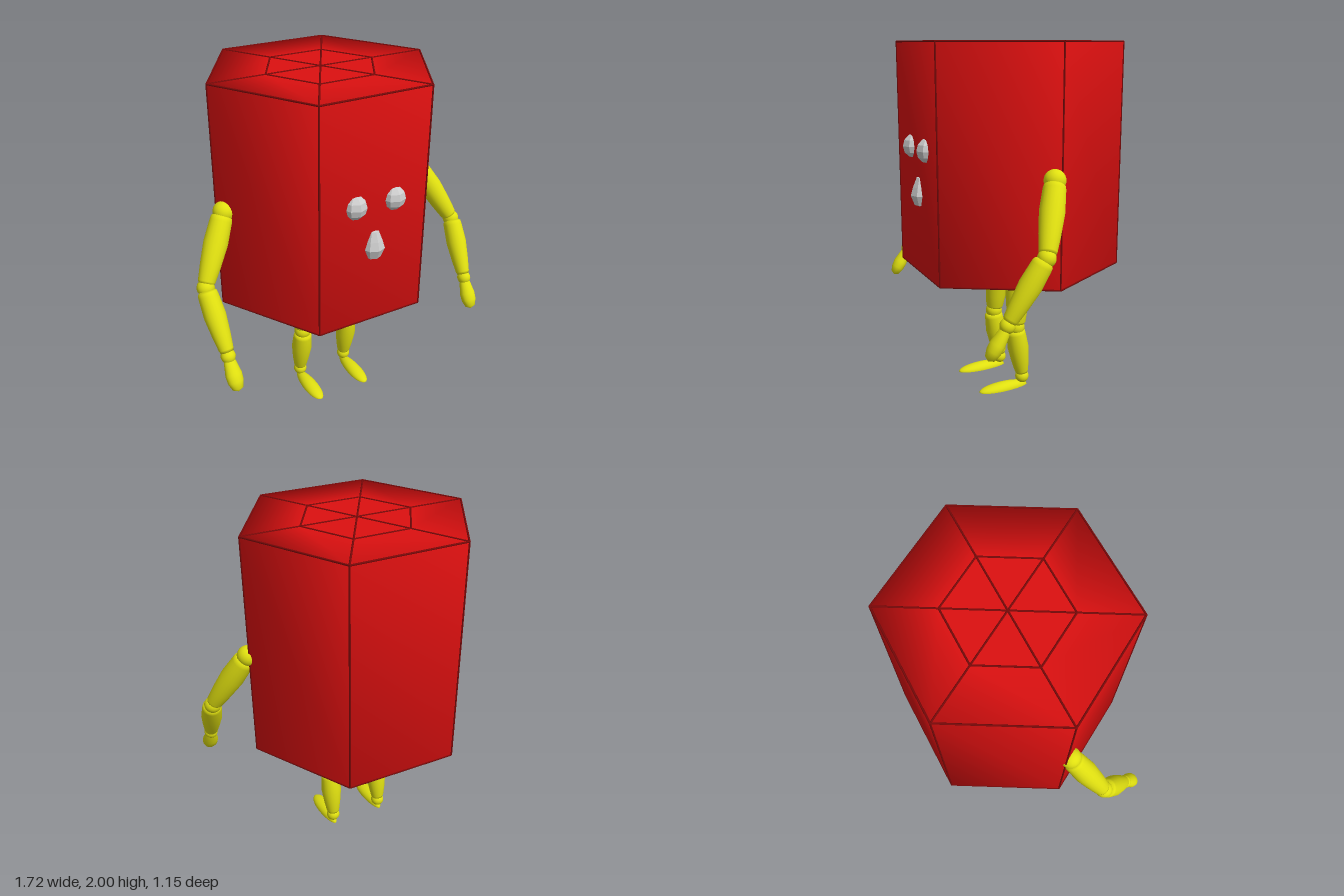
import * as THREE from 'three';

const red = new THREE.MeshStandardMaterial({ color: 0xdd1010 });
const seamRed = new THREE.MeshStandardMaterial({ color: 0x7a0808 });
const yellow = new THREE.MeshStandardMaterial({ color: 0xe0e010 });
const grey = new THREE.MeshStandardMaterial({ color: 0xcccccc, flatShading: true });

const V = (x, y, z) => new THREE.Vector3(x, y, z);
const UP = V(0, 1, 0);

function add(parent, name, geometry, material, position) {
  const mesh = new THREE.Mesh(geometry, material);
  mesh.name = name;
  if (position) mesh.position.copy(position);
  parent.add(mesh);
  return mesh;
}

const ball = (parent, name, p, r) =>
  add(parent, name, new THREE.SphereGeometry(r, 20, 14), yellow, p);

// Round body from a to b; profile is [radius, fraction along the axis]
function limb(parent, name, a, b, profile, material = yellow, sides = 20) {
  const axis = b.clone().sub(a);
  const length = axis.length();
  const points = profile.map(([r, t]) => new THREE.Vector2(r, t * length));
  const mesh = add(parent, name, new THREE.LatheGeometry(points, sides), material, a);
  mesh.quaternion.setFromUnitVectors(UP, axis.normalize());
  return mesh;
}

// Segment with softly rounded ends
const segment = (r0, rMid, r1) => [
  [0, 0], [r0 * 0.75, 0.005], [r0 * 0.95, 0.035], [r0, 0.09], [rMid, 0.4],
  [(rMid + r1) / 2, 0.72], [r1, 0.94], [r1 * 0.85, 0.985], [0, 1],
];

function buildBody() {
  const body = new THREE.Group();
  body.name = 'body';
  body.position.set(-0.01, 0, -0.022);
  const R = 0.636, bottom = 0.73, top = 1.996;

  // Hexagonal prism, softly shaded across its edges
  const profile = [[0, bottom], [R / 2, bottom], [R, bottom], [R, top], [R / 2, top], [0, top]];
  add(body, 'hexagonalBody', new THREE.LatheGeometry(
    profile.map(([x, y]) => new THREE.Vector2(x, y)), 6, Math.PI / 2), red);

  // Thin seams along the edges and across both end panels
  const corner = (i, r, y) => V(r * Math.cos(i * Math.PI / 3), y, r * Math.sin(i * Math.PI / 3));
  const seam = (a, b) => {
    const length = a.distanceTo(b);
    const mesh = add(body, 'seam', new THREE.CylinderGeometry(0.005, 0.005, length, 6),
      seamRed, a.clone().add(b).multiplyScalar(0.5));
    mesh.quaternion.setFromUnitVectors(UP, b.clone().sub(a).normalize());
  };
  for (let i = 0; i < 6; i++) {
    seam(corner(i, R, bottom), corner(i, R, top));
    for (const y of [bottom, top]) {
      seam(V(0, y, 0), corner(i, R, y));
      for (const r of [R / 2, R]) seam(corner(i, r, y), corner(i + 1, r, y));
    }
  }
  return body;
}

function buildFace() {
  const face = new THREE.Group();
  face.name = 'face';
  for (const s of [-1, 1]) {
    add(face, s > 0 ? 'leftEye' : 'rightEye', new THREE.SphereGeometry(0.068, 8, 6), grey,
      V(s * 0.116, 1.43, 0.508));
  }
  limb(face, 'nose', V(0, 1.1, 0.51), V(0, 1.28, 0.51),
    [[0, 0], [0.045, 0.1], [0.066, 0.4], [0.052, 0.65], [0.03, 0.94], [0, 1]], grey, 8);
  return face;
}

function buildArm(s) {
  const arm = new THREE.Group();
  arm.name = s > 0 ? 'leftArm' : 'rightArm';
  const P = (x, y, z) => V(s * x, y, z);
  ball(arm, 'shoulder', P(0.622, 1.315, 0.02), 0.058);
  limb(arm, 'upperArm', P(0.632, 1.3, 0.025), P(0.802, 0.985, 0.155), segment(0.06, 0.066, 0.047));
  ball(arm, 'elbow', P(0.805, 0.975, 0.16), 0.048);
  limb(arm, 'forearm', P(0.806, 0.965, 0.172), P(0.785, 0.67, 0.352), segment(0.055, 0.06, 0.04));
  ball(arm, 'wrist', P(0.785, 0.655, 0.36), 0.04);
  const hand = limb(arm, 'hand', P(0.785, 0.648, 0.362), P(0.778, 0.487, 0.46),
    [[0, 0], [0.024, 0.02], [0.034, 0.15], [0.046, 0.5], [0.044, 0.72], [0.03, 0.92], [0, 1]]);
  hand.scale.z = 0.85;
  return arm;
}

function buildLeg(s) {
  const leg = new THREE.Group();
  leg.name = s > 0 ? 'leftLeg' : 'rightLeg';
  const P = (x, y, z) => V(s * x, y, z);
  ball(leg, 'hip', P(0.13, 0.7, -0.016), 0.065);
  limb(leg, 'thigh', P(0.133, 0.695, -0.015), P(0.158, 0.385, 0.005), segment(0.073, 0.07, 0.052));
  ball(leg, 'knee', P(0.158, 0.37, 0.008), 0.05);
  limb(leg, 'shin', P(0.158, 0.355, 0.012), P(0.16, 0.075, -0.03), segment(0.056, 0.062, 0.04));
  ball(leg, 'ankle', P(0.16, 0.055, -0.03), 0.04);

  // Flat-soled foot, narrow at the heel and wider and lower toward the toe
  const geometry = new THREE.SphereGeometry(1, 24, 16);
  const p = geometry.attributes.position;
  for (let i = 0; i < p.count; i++) {
    const z = p.getZ(i);
    p.setXYZ(i, p.getX(i) * (0.046 + 0.008 * z),
      Math.max(0, p.getY(i)) * (0.039 - 0.006 * z), z * 0.153);
  }
  geometry.computeVertexNormals();
  add(leg, 'foot', geometry, yellow, P(0.16, 0, 0.092));
  return leg;
}

export function createModel() {
  const model = new THREE.Group();
  model.name = 'hexagonalFigure';
  model.add(buildBody(), buildFace());
  for (const s of [-1, 1]) model.add(buildArm(s), buildLeg(s));
  return model;
}
